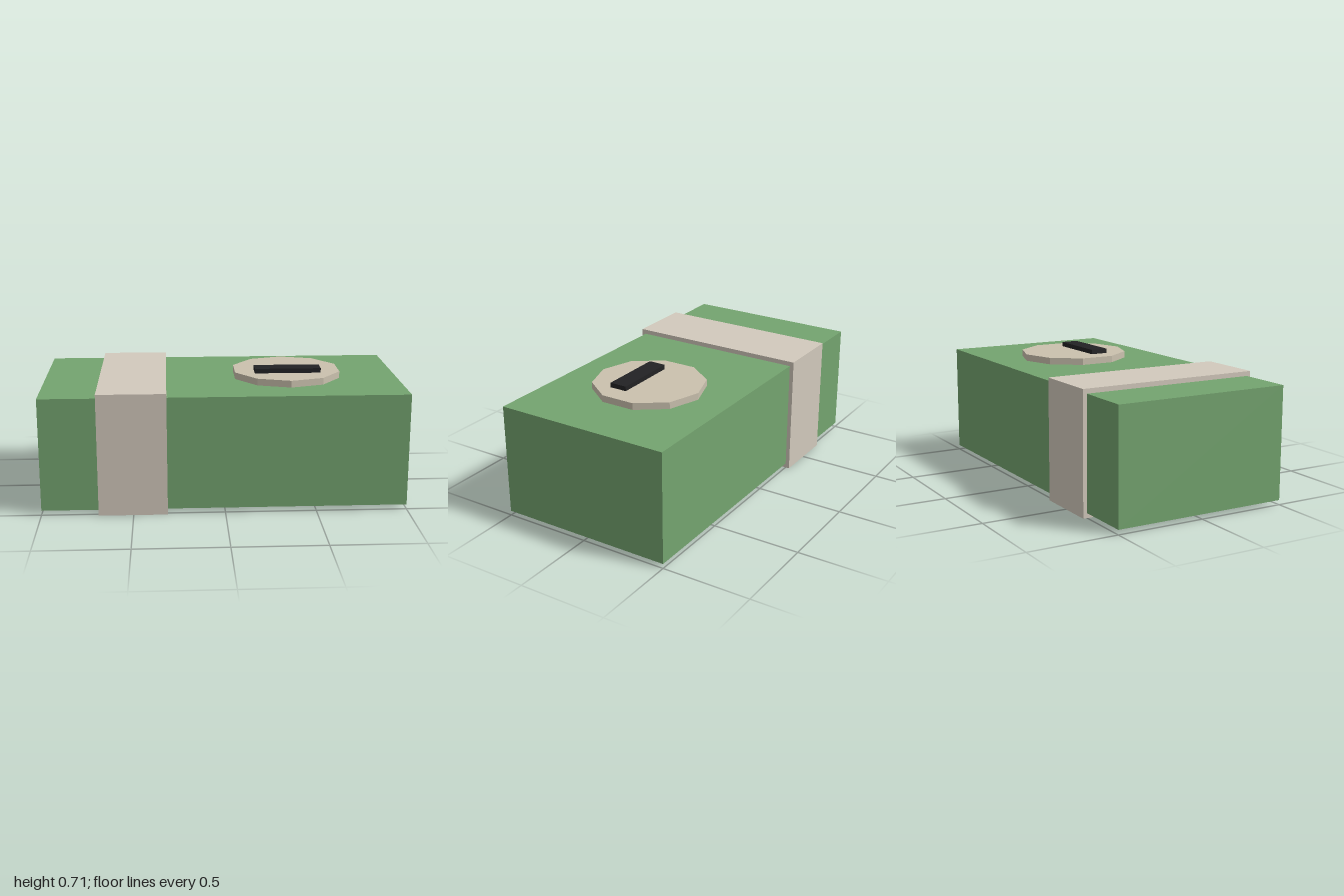
import * as THREE from 'three';

export function createModel() {
  const model = new THREE.Group();

  function add(name, geometry, color, x, y, z) {
    const material = new THREE.MeshStandardMaterial({ color });
    material.flatShading = true;
    const mesh = new THREE.Mesh(geometry, material);
    mesh.name = name;
    mesh.position.set(x, y, z);
    model.add(mesh);
  }

  // Main block, raised slightly by the band beneath it
  add('body', new THREE.BoxGeometry(2, 0.624, 1), 0x74a46f, 0, 0.338, 0);

  // Band wrapped all the way around one end
  add('band', new THREE.BoxGeometry(0.375, 0.676, 1.046), 0xd2c9bc, -0.502, 0.338, 0);

  // Ten-sided badge on top, with a corner facing the front
  add('badge', new THREE.CylinderGeometry(0.3125, 0.3125, 0.04, 10), 0xcac1ae, 0.373, 0.668, 0);

  // Dark bar lying on the badge, forward of its centre
  add('bar', new THREE.BoxGeometry(0.373, 0.027, 0.1), 0x222224, 0.373, 0.7005, 0.075);

  return model;
}
